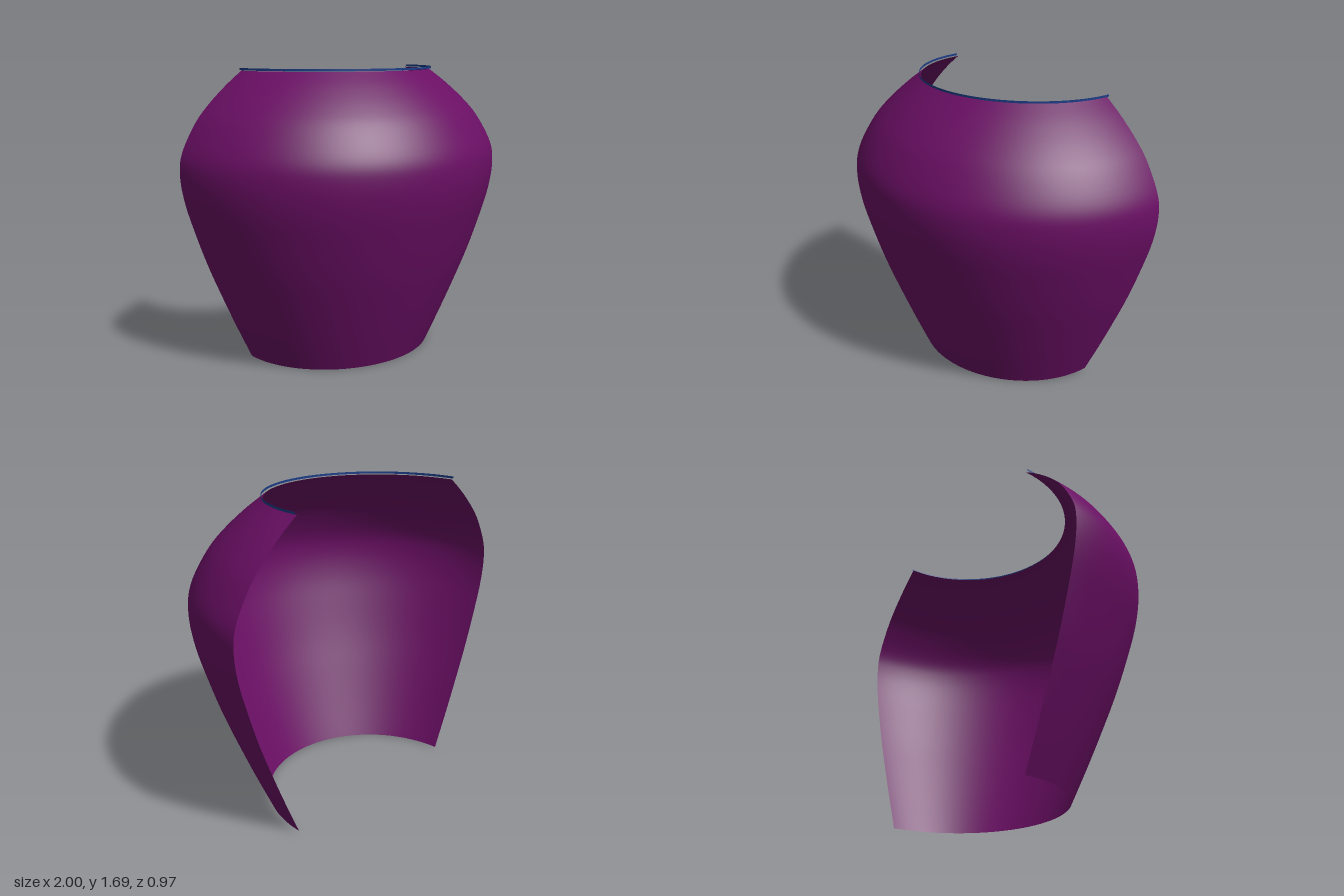
import * as THREE from 'three';

const purple = new THREE.MeshStandardMaterial({ color: 0x6a0f64, side: THREE.DoubleSide });
purple.name = 'plum purple';
const blue = new THREE.MeshStandardMaterial({ color: 0x1c3c86, side: THREE.DoubleSide });
blue.name = 'navy blue';

// Half turn of a profile, open towards the back and slightly flattened in depth
function halfTurn(name, points, material) {
  const geometry = new THREE.LatheGeometry(points, 72, -Math.PI / 2, Math.PI);
  geometry.scale(1, 1, 0.97);
  geometry.translate(0, 0, -0.485);
  const mesh = new THREE.Mesh(geometry, material);
  mesh.name = name;
  return mesh;
}

export function createModel() {
  const group = new THREE.Group();
  group.name = 'halfVase';

  // Thin body wall: narrow foot, wide shoulder, narrow mouth
  const profile = new THREE.SplineCurve([
    [0.605, 0], [0.695, 0.2], [0.78, 0.4], [0.86, 0.6], [0.928, 0.8], [0.98, 0.98],
    [1, 1.13], [0.982, 1.25], [0.9, 1.4], [0.815, 1.5], [0.705, 1.6], [0.603, 1.678],
  ].map(([r, y]) => new THREE.Vector2(r, y)));
  group.add(halfTurn('vaseBody', profile.getPoints(60), purple));

  // Narrow upright band floating just above the mouth
  const band = [new THREE.Vector2(0.615, 1.681), new THREE.Vector2(0.615, 1.693)];
  group.add(halfTurn('rimBand', band, blue));

  return group;
}
